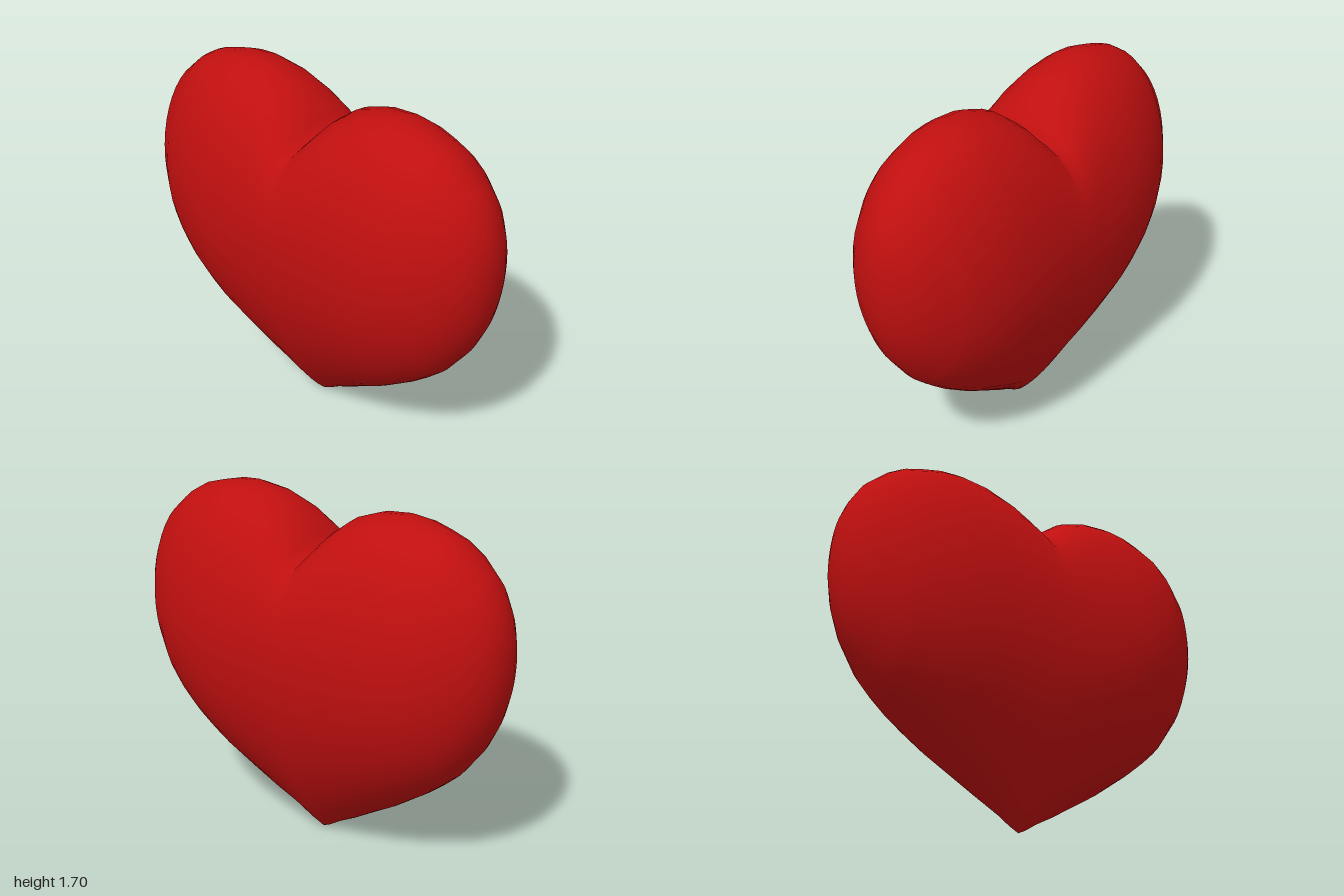
import * as THREE from 'three';
import { mergeVertices } from 'three/addons/utils/BufferGeometryUtils.js';

// Outline of one half: [x, lower edge, upper edge], from the cleft to the side
const OUTLINE = [
  [0, 0, 1.45], [0.04, 0.02, 1.5], [0.1, 0.06, 1.57], [0.19, 0.11, 1.64],
  [0.31, 0.185, 1.685], [0.44, 0.265, 1.7], [0.53, 0.33, 1.693], [0.62, 0.395, 1.67],
  [0.71, 0.47, 1.642], [0.78, 0.535, 1.6], [0.88, 0.67, 1.51], [0.935, 0.78, 1.42],
  [0.97, 0.88, 1.34], [0.99, 0.99, 1.25], [1, 1.12, 1.12],
];
const RING = 40;

// One point on the closed section at column [x, low, high]
function sectionPoint([x, low, high], phi) {
  const ax = Math.abs(x);
  const s = Math.sin(phi), c = Math.cos(phi);
  const mid = 0.97 + 0.15 * ax * ax;
  // Half depth: flat in the middle, rounding off to the sides
  const side = Math.max(0, (ax - 0.3) / 0.7);
  const depth = 0.395 * Math.sqrt(Math.max(0, 1 - side ** 2.2));
  let y, power = 1;
  if (s >= 0) {
    // The cleft fades out towards the front and back
    const full = ax < 0.44 ? 1.7 : high;
    y = mid + (full - mid) * s - (full - high) * s ** 2.2;
  } else {
    // The lower half tapers to a wedge near the tip
    y = mid + (mid - low) * s;
    power = 1 + 0.8 * (1 - ax) ** 2;
  }
  return [x, y, depth * Math.sign(c) * Math.abs(c) ** power];
}

function heartGeometry() {
  const mirrored = OUTLINE.slice(1).reverse().map(([x, low, high]) => [-x, low, high]);
  const columns = [...mirrored, ...OUTLINE];
  const positions = [], index = [];
  columns.forEach((column, i) => {
    for (let j = 0; j < RING; j++) {
      positions.push(...sectionPoint(column, (j / RING) * Math.PI * 2));
      if (i === columns.length - 1) continue;
      const k = (j + 1) % RING;
      const a = i * RING + j, b = a + RING;
      const d = i * RING + k, e = d + RING;
      if (i < columns.length - 2) index.push(a, b, e);
      else index.push(a, b, d);
      if (i > 0 && i < columns.length - 2) index.push(a, e, d);
    }
  });
  const geometry = new THREE.BufferGeometry();
  geometry.setAttribute('position', new THREE.Float32BufferAttribute(positions, 3));
  geometry.setIndex(index);
  const merged = mergeVertices(geometry, 1e-4);
  merged.computeVertexNormals();
  return merged;
}

export function createModel() {
  const red = new THREE.MeshStandardMaterial({ color: 0xc00f0f });
  red.name = 'red';
  const heart = new THREE.Mesh(heartGeometry(), red);
  heart.name = 'heart';
  const group = new THREE.Group();
  group.name = 'puffyHeart';
  group.add(heart);
  return group;
}
